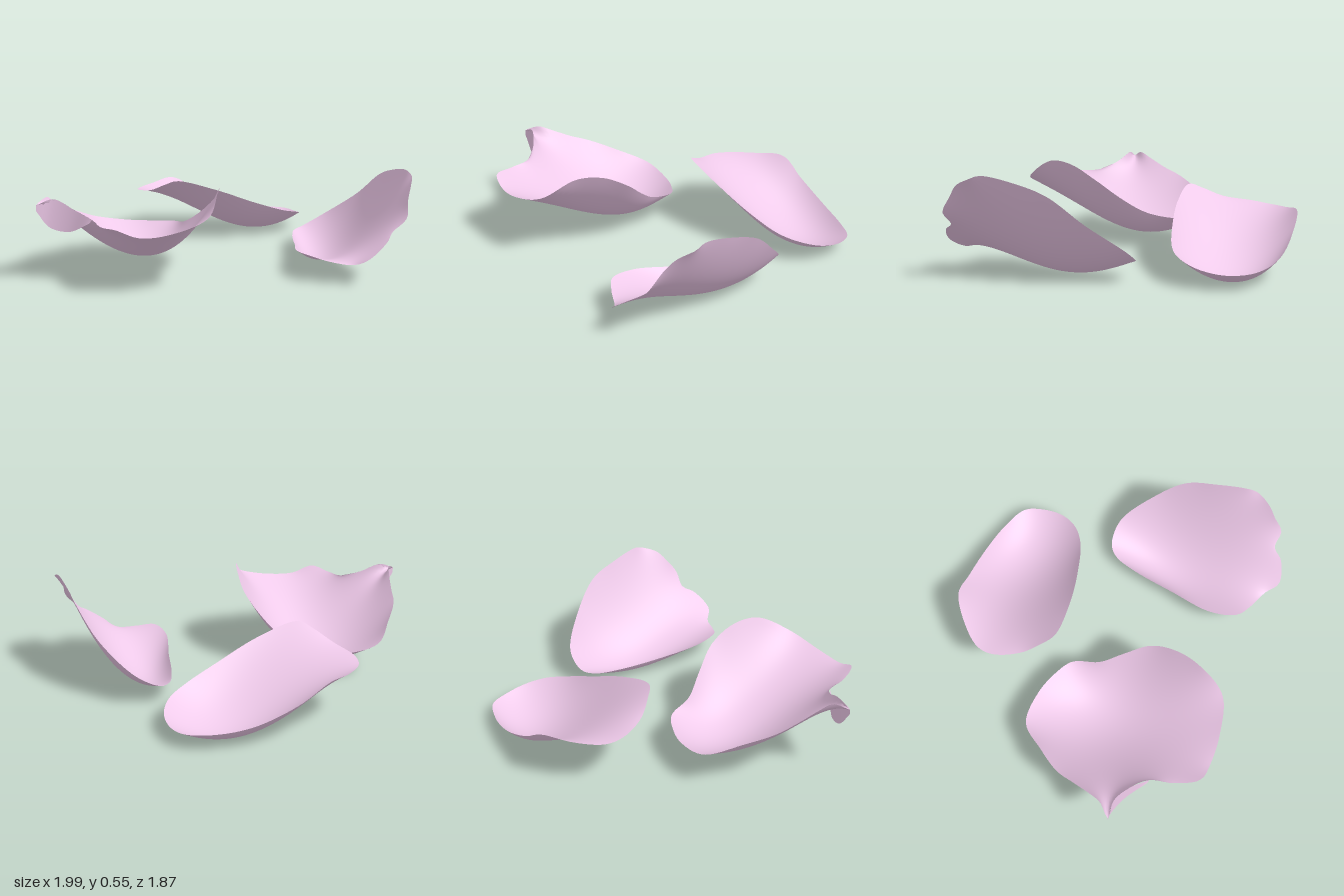
import * as THREE from 'three';

const SEGMENTS = 120;
const RINGS = 24;

const material = new THREE.MeshStandardMaterial({ color: 0xefcaea, side: THREE.DoubleSide });

const toVectors = (points) => points.map((p) => new THREE.Vector3(...p));

function makeMesh(name, positions, index) {
  const geometry = new THREE.BufferGeometry();
  geometry.setAttribute('position', new THREE.Float32BufferAttribute(positions, 3));
  geometry.setIndex(index);
  geometry.computeVertexNormals();
  const mesh = new THREE.Mesh(geometry, material);
  mesh.name = name;
  return mesh;
}

// Splits one coordinate of the rim into waves around the petal.
function rimWaves(values) {
  const waves = [];
  for (let n = 0; n < SEGMENTS / 2; n++) {
    let a = 0;
    let b = 0;
    values.forEach((v, s) => {
      const angle = (2 * Math.PI * n * s) / SEGMENTS;
      a += v * Math.cos(angle);
      b += v * Math.sin(angle);
    });
    const scale = (n === 0 ? 1 : 2) / SEGMENTS;
    waves.push([a * scale, b * scale]);
  }
  return waves;
}

// Fine waves fade quickly away from the rim (t = 1), broad ones reach the middle.
function sampleWaves(waves, t, angle) {
  return waves.reduce((sum, [a, b], n) =>
    sum + Math.pow(t, n) * (a * Math.cos(n * angle) + b * Math.sin(n * angle)), 0);
}

// A cupped petal: a smooth skin over a wavy rim, sunk by "depth". The cup is
// deepest towards the rim position "side" (0..1 around the rim) by "skew".
function makePetal(name, { depth, skew, side, rimPoints }) {
  const rim = new THREE.CatmullRomCurve3(toVectors(rimPoints), true, 'centripetal');
  const edge = rim.getSpacedPoints(SEGMENTS).slice(0, SEGMENTS);
  const [wx, wy, wz] = ['x', 'y', 'z'].map((axis) => rimWaves(edge.map((p) => p[axis])));
  const positions = [wx[0][0], wy[0][0] - depth, wz[0][0]];
  const index = [];

  for (let r = 1; r <= RINGS; r++) {
    const t = Math.pow(r / RINGS, 0.8);
    for (let s = 0; s < SEGMENTS; s++) {
      const angle = (2 * Math.PI * s) / SEGMENTS;
      const lean = 1 + skew * t * Math.cos(angle - 2 * Math.PI * side);
      positions.push(
        sampleWaves(wx, t, angle),
        sampleWaves(wy, t, angle) - depth * (1 - t * t) * lean,
        sampleWaves(wz, t, angle));
    }
  }

  const id = (r, s) => 1 + (r - 1) * SEGMENTS + (s % SEGMENTS);
  for (let s = 0; s < SEGMENTS; s++) {
    index.push(0, id(1, s + 1), id(1, s));
    for (let r = 1; r < RINGS; r++) {
      index.push(id(r, s), id(r, s + 1), id(r + 1, s));
      index.push(id(r, s + 1), id(r + 1, s + 1), id(r + 1, s));
    }
  }
  return makeMesh(name, positions, index);
}

// A thin strip between two curves.
function makeStrip(name, upperPoints, lowerPoints) {
  const steps = 24;
  const upper = new THREE.CatmullRomCurve3(toVectors(upperPoints)).getPoints(steps);
  const lower = new THREE.CatmullRomCurve3(toVectors(lowerPoints)).getPoints(steps);
  const positions = [];
  const index = [];
  for (let i = 0; i <= steps; i++) {
    positions.push(...upper[i].toArray(), ...lower[i].toArray());
    const k = 2 * i;
    if (i < steps) index.push(k, k + 1, k + 2, k + 1, k + 3, k + 2);
  }
  return makeMesh(name, positions, index);
}

export function createModel() {
  const group = new THREE.Group();
  group.name = 'fallenPetals';

  // Wide petal with a pinched stem tip
  group.add(makePetal('rightPetal', { depth: 0.23, skew: 0.5, side: 0.41, rimPoints: [
    [-1.0, 0.42, -0.24], [-0.92, 0.45, -0.27], [-0.86, 0.42, -0.32], [-0.78, 0.37, -0.4],
    [-0.7, 0.33, -0.48], [-0.55, 0.27, -0.56], [-0.37, 0.2, -0.63],
    [-0.2, 0.17, -0.55], [-0.1, 0.17, -0.45], [-0.04, 0.18, -0.34], [-0.07, 0.21, -0.19],
    [-0.065, 0.29, -0.05], [-0.075, 0.4, 0.1], [-0.15, 0.48, 0.23], [-0.25, 0.49, 0.34],
    [-0.4, 0.39, 0.45], [-0.6, 0.33, 0.41], [-0.75, 0.32, 0.34], [-0.84, 0.36, 0.27],
    [-0.84, 0.35, 0.13], [-0.81, 0.36, 0.0], [-0.85, 0.4, -0.11], [-0.92, 0.45, -0.2],
  ] }));

  // Lip of the stem tip, rolled over and hanging down
  group.add(makeStrip('curledLip',
    [[-1.0, 0.42, -0.24], [-0.92, 0.45, -0.2], [-0.85, 0.4, -0.11], [-0.81, 0.36, 0.0]],
    [[-1.0, 0.39, -0.24], [-0.94, 0.3, -0.21], [-0.87, 0.28, -0.13], [-0.82, 0.34, -0.01]]));

  // Steep petal, raised on its outer side, with a crinkled front end
  group.add(makePetal('frontPetal', { depth: 0.165, skew: 0.6, side: 0, rimPoints: [
    [0.7, 0.1, -0.035], [0.81, 0.17, 0.03], [0.87, 0.32, 0.24], [0.86, 0.46, 0.42],
    [0.8, 0.52, 0.58], [0.74, 0.55, 0.74], [0.72, 0.53, 0.8], [0.65, 0.49, 0.86],
    [0.6, 0.43, 0.89], [0.55, 0.34, 0.93], [0.49, 0.27, 0.89], [0.42, 0.23, 0.92],
    [0.31, 0.15, 0.9], [0.28, 0.11, 0.82], [0.2, 0.12, 0.72], [0.15, 0.14, 0.63],
    [0.19, 0.13, 0.48], [0.35, 0.1, 0.28], [0.52, 0.09, 0.07], [0.62, 0.09, -0.02],
  ] }));

  // Shallow petal sloping down towards its outer end
  group.add(makePetal('backPetal', { depth: 0.145, skew: 0.8, side: 0.5, rimPoints: [
    [0.0, 0.31, -0.62], [0.02, 0.285, -0.78], [0.08, 0.275, -0.86], [0.23, 0.28, -0.92],
    [0.4, 0.29, -0.94], [0.55, 0.2, -0.88], [0.75, 0.115, -0.77], [0.9, 0.085, -0.65],
    [0.99, 0.08, -0.53], [0.98, 0.08, -0.42], [0.92, 0.1, -0.31], [0.82, 0.13, -0.24],
    [0.7, 0.16, -0.22], [0.5, 0.23, -0.25], [0.25, 0.33, -0.32], [0.05, 0.39, -0.42],
    [0.02, 0.36, -0.5],
  ] }));

  return group;
}
